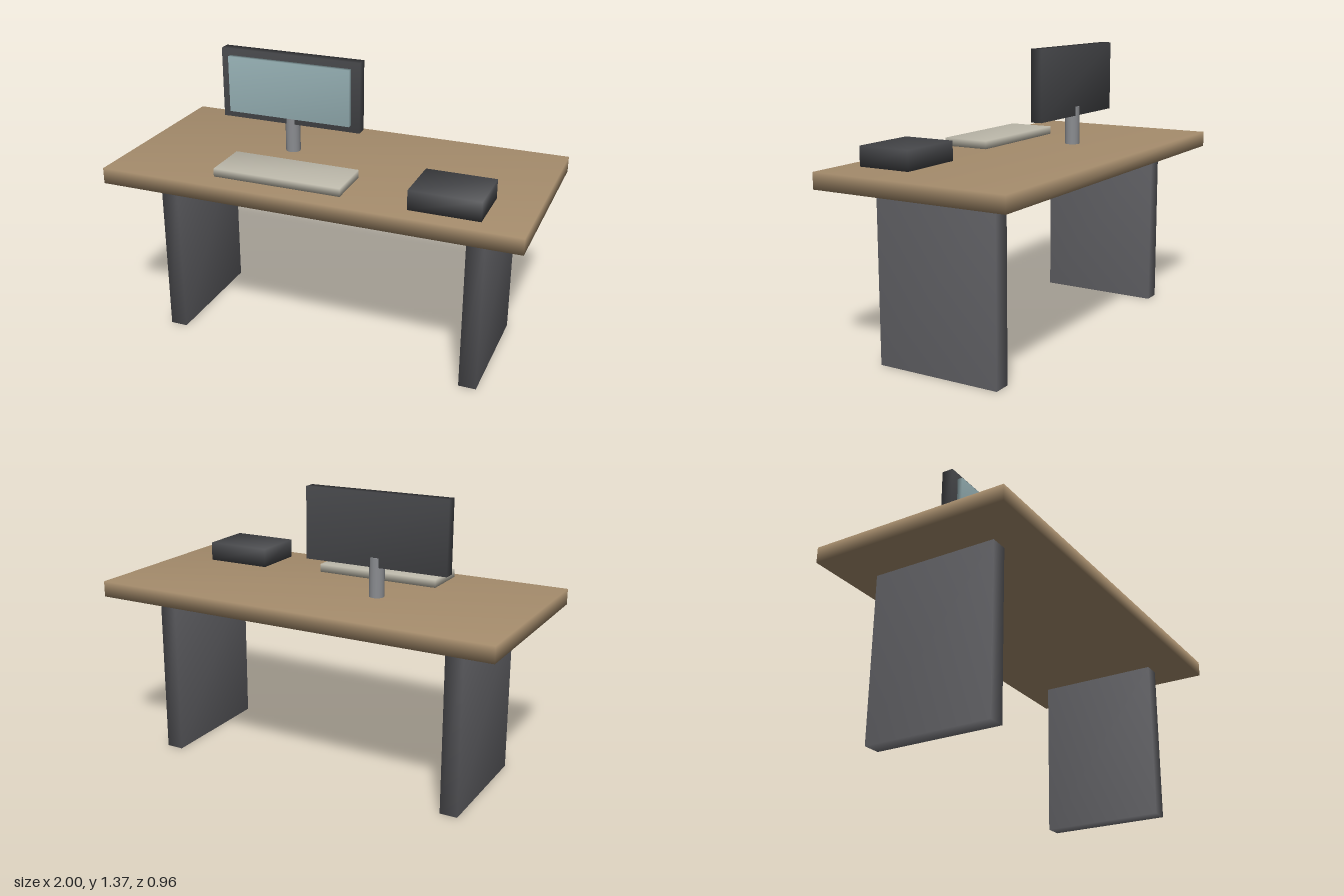
import * as THREE from 'three';
import { mergeVertices } from 'three/addons/utils/BufferGeometryUtils.js';

// Weld shared corners so the shading rolls softly over the edges
function soften(geometry) {
  geometry.deleteAttribute('normal');
  geometry.deleteAttribute('uv');
  const welded = mergeVertices(geometry);
  welded.computeVertexNormals();
  return welded;
}

export function createModel() {
  const group = new THREE.Group();
  group.name = 'deskWithComputer';

  const mat = (color) => new THREE.MeshStandardMaterial({ color });
  const wood = mat(0xa58c6c);
  const charcoal = mat(0x606064);
  const dark = mat(0x454649);
  const glass = mat(0x94aeb2);
  const metal = mat(0x8a8c90);
  const ivory = mat(0xbcb8aa);

  // Box given by its extents on each axis
  function box(name, material, [x0, x1], [y0, y1], [z0, z1]) {
    const geometry = soften(new THREE.BoxGeometry(x1 - x0, y1 - y0, z1 - z0));
    const mesh = new THREE.Mesh(geometry, material);
    mesh.name = name;
    mesh.position.set((x0 + x1) / 2, (y0 + y1) / 2, (z0 + z1) / 2);
    group.add(mesh);
    return mesh;
  }

  // Desk: slab top on two panel legs
  box('deskTop', wood, [-1, 1], [0.812, 0.888], [-0.48, 0.48]);
  for (const side of [-1, 1]) {
    const leg = box(side > 0 ? 'leftLeg' : 'rightLeg', charcoal, [-0.042, 0.042], [0, 0.793], [-0.305, 0.305]);
    leg.position.x = side * 0.757;
  }

  // Monitor: housing, raised screen and round stand
  box('monitorHousing', dark, [-0.625, 0.085], [1.03, 1.372], [-0.1, -0.044]);
  box('monitorScreen', glass, [-0.58, 0.042], [1.065, 1.34], [-0.044, -0.018]);
  const stand = new THREE.Mesh(new THREE.CylinderGeometry(0.036, 0.036, 0.19, 16), metal);
  stand.name = 'monitorStand';
  stand.position.set(-0.27, 0.98, -0.072);
  group.add(stand);

  // Items on the desk
  box('keyboard', ivory, [-0.46, 0.16], [0.897, 0.936], [0.16, 0.393]);
  box('desktopBox', dark, [0.47, 0.797], [0.888, 0.98], [0.132, 0.393]);

  return group;
}
